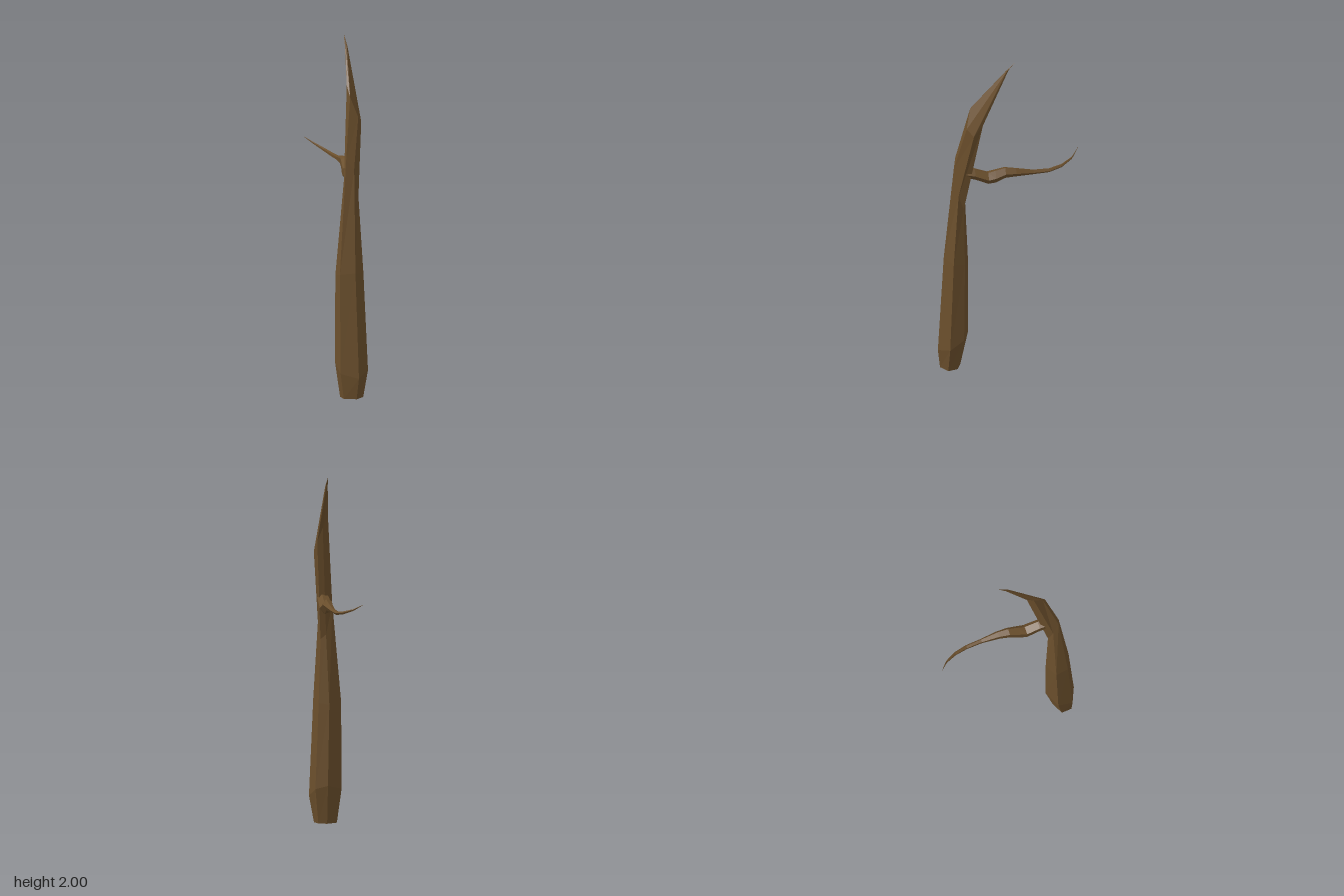
import * as THREE from 'three';

const bark = new THREE.MeshStandardMaterial({ color: 0x6b4f2c, flatShading: true });

// Skin a list of equal-length rings of points and close both ends.
function loft(name, rings) {
  const n = rings[0].length;
  const pos = [];
  const tri = (a, b, c) => pos.push(...a, ...b, ...c);
  for (let r = 0; r < rings.length - 1; r++) {
    const lo = rings[r], hi = rings[r + 1];
    for (let i = 0; i < n; i++) {
      const j = (i + 1) % n;
      tri(lo[i], lo[j], hi[j]);
      tri(lo[i], hi[j], hi[i]);
    }
  }
  const first = rings[0], last = rings[rings.length - 1];
  for (let i = 1; i < n - 1; i++) {
    tri(first[0], first[i + 1], first[i]);
    tri(last[0], last[i], last[i + 1]);
  }
  const geo = new THREE.BufferGeometry();
  geo.setAttribute('position', new THREE.Float32BufferAttribute(pos, 3));
  geo.computeVertexNormals();
  const mesh = new THREE.Mesh(geo, bark);
  mesh.name = name;
  return mesh;
}

// Leaning trunk: an uneven six-sided outline, scaled and tilted at each level
function makeTrunk() {
  const outline = [[-1, -0.5], [-0.95, 0.5], [0.15, 1], [1, 0.35], [0.8, -0.6], [0.05, -1]];
  // centre x, y, z, half width, half depth, tilt along x, tilt along z
  const levels = [
    [-0.01, 0, 0.333, 0.06, 0.058, 0, 0],
    [-0.005, 0.17, 0.318, 0.085, 0.087, 0, -0.05],
    [-0.012, 0.7, 0.3, 0.073, 0.07, 0, 0.02],
    [0.004, 1.2, 0.282, 0.038, 0.033, -0.1, 0.12],
    [0.05, 1.65, 0.195, 0.035, 0.055, -0.08, -0.05],
    [0.06, 1.95, 0.022, 0.006, 0.012, 0, -0.01],
    [0.062, 2, -0.022, 0.001, 0.001, 0, 0],
  ];
  return loft('trunk', levels.map(([x, y, z, w, d, tx, tz]) =>
    outline.map(([u, v]) => [x + u * w, y + u * tx + v * tz, z + v * d])));
}

// Thin side branch sweeping backward and hooking round at its tip
function makeBranch() {
  const sides = 5;
  // centre x, y, z, half width, half height
  const stations = [
    [0.025, 1.285, 0.25, 0.032, 0.032],
    [0.03, 1.275, 0.2, 0.034, 0.034],
    [0.036, 1.245, 0.125, 0.037, 0.037],
    [0.042, 1.255, 0.085, 0.035, 0.041],
    [0.05, 1.277, 0.03, 0.029, 0.034],
    [0.058, 1.276, -0.03, 0.023, 0.026],
    [0.061, 1.267, -0.13, 0.013, 0.014],
    [0.058, 1.265, -0.22, 0.012, 0.011],
    [0.04, 1.276, -0.295, 0.01, 0.009],
    [0.005, 1.298, -0.36, 0.006, 0.006],
    [-0.045, 1.333, -0.405, 0.001, 0.001],
  ];
  return loft('sideBranch', stations.map(([x, y, z, w, h]) =>
    Array.from({ length: sides }, (_, i) => {
      const a = Math.PI / 2 - 0.3 - (i / sides) * Math.PI * 2;
      return [x + Math.cos(a) * w, y + Math.sin(a) * h, z];
    })));
}

export function createModel() {
  const group = new THREE.Group();
  group.name = 'bareTree';
  group.add(makeTrunk(), makeBranch());
  return group;
}
